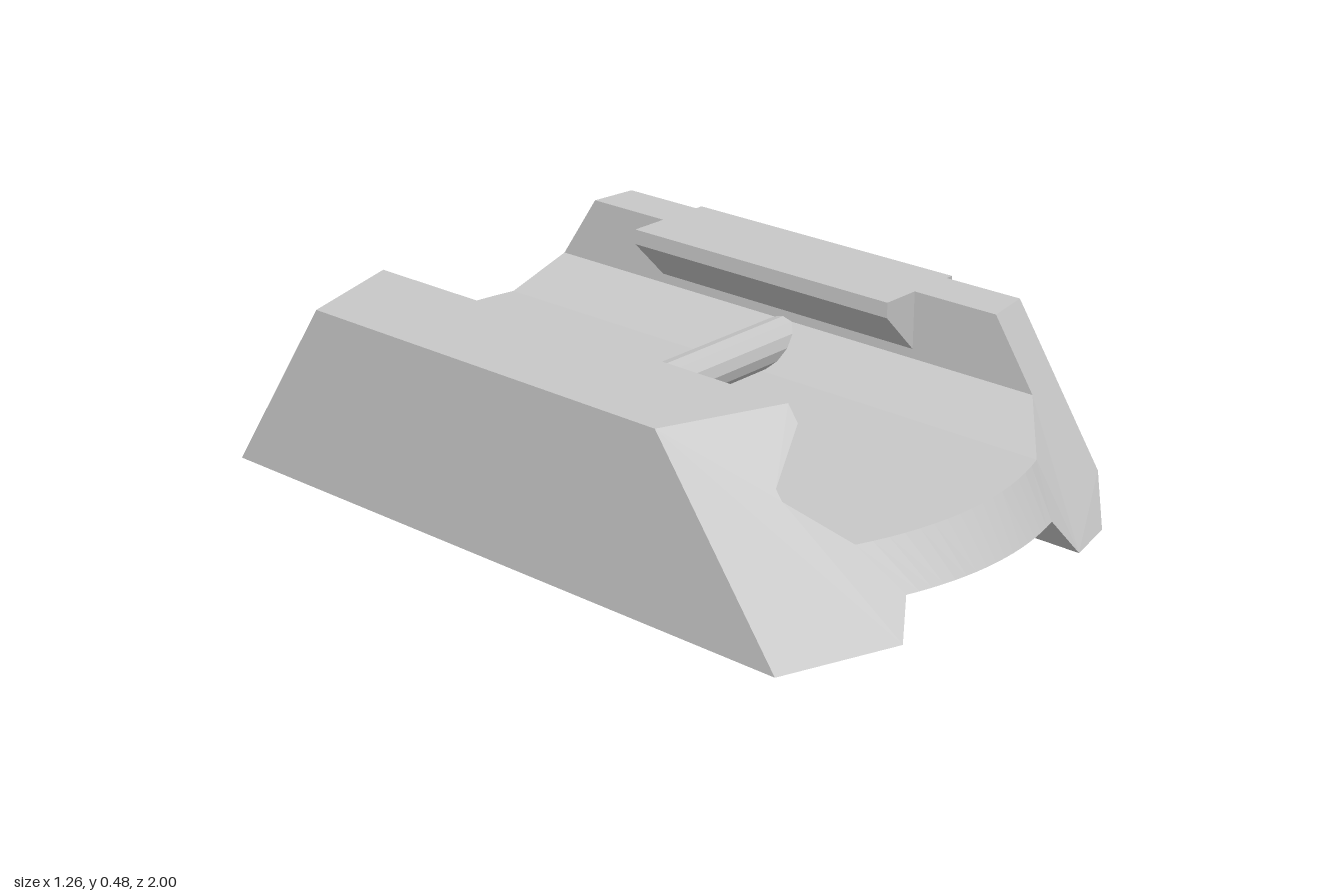
import * as THREE from 'three';

// Outline of each end: [x, distance at y = 0, inward lean per unit of height].
const BACK = { knots: [[-0.63, 0.89, 0.67], [-0.328, 0.985, 0.67], [0.322, 1.0, 0.67], [0.468, 0.97, 0.67], [0.56, 0.965, 0.67]], bulge: 0.038 };
const FRONT = { knots: [[-0.63, 0.87, 0.72], [-0.328, 0.98, 0.7], [0.322, 0.998, 0.66], [0.468, 0.965, 0.66], [0.56, 0.951, 0.66]], bulge: 0.063 };

function endDistance(end, x, y) {
  const k = end.knots;
  let i = 0;
  while (i < k.length - 2 && x > k[i + 1][0]) i++;
  const t = (x - k[i][0]) / (k[i + 1][0] - k[i][0]);
  const mix = (c) => k[i][c] + (k[i + 1][c] - k[i][c]) * t;
  const arc = i === 1 ? 4 * t * (1 - t) * end.bulge : 0;
  return mix(1) + arc - mix(2) * y;
}

const backEnd = (x, y) => -endDistance(BACK, x, y);
const frontEnd = (x, y) => endDistance(FRONT, x, y);
const at = (z) => () => z;

// Extrude an xy profile between two z rules, with crisp facets.
function prism(points, zBack, zFront) {
  const shape = new THREE.Shape(points.map(([x, y]) => new THREE.Vector2(x, y)));
  const geo = new THREE.ExtrudeGeometry(shape, { depth: 1, bevelEnabled: false });
  const p = geo.attributes.position;
  for (let i = 0; i < p.count; i++) {
    const rule = p.getZ(i) > 0.5 ? zFront : zBack;
    p.setZ(i, rule(p.getX(i), p.getY(i)));
  }
  geo.computeVertexNormals();
  return geo;
}

// Web between the cheeks: four-cornered sections joined along x.
function webGeometry() {
  const n = 16;
  const sections = [[-0.328, -0.328, 0.003]];
  for (let i = 0; i <= n; i++) sections.push([-0.328 + (0.65 * i) / n, -0.27 + (0.53 * i) / n, 0.09]);
  sections.push([0.322, 0.322, 0]);
  const ring = ([xTop, xLow, yLow]) => [
    [xTop, 0.2, backEnd(xTop, 0.2)], [xTop, 0.2, frontEnd(xTop, 0.2)],
    [xLow, yLow, frontEnd(xLow, yLow)], [xLow, yLow, backEnd(xLow, yLow)],
  ];
  const pos = [];
  for (let i = 0; i < sections.length - 1; i++) {
    const a = ring(sections[i]);
    const b = ring(sections[i + 1]);
    for (let j = 0; j < 4; j++) {
      const k = (j + 1) % 4;
      // The first and last sections share their top corners, so skip the empty floor there
      if (j === 0 && sections[i][0] === sections[i + 1][0]) continue;
      pos.push(...a[j], ...a[k], ...b[k], ...a[j], ...b[k], ...b[j]);
    }
  }
  const geo = new THREE.BufferGeometry();
  geo.setAttribute('position', new THREE.Float32BufferAttribute(pos, 3));
  geo.computeVertexNormals();
  return geo;
}

// Right-hand cheek, optionally with the slot beneath the clamp
function clampCheek(slot) {
  return [
    [0.322, 0], [0.468, 0],
    ...(slot ? [[0.468, 0.07], [0.505, 0.07], [0.505, 0.04]] : []),
    [0.56, 0.1], [0.56, 0.48], [0.43, 0.48], [0.43, 0.305], [0.322, 0.2],
  ];
}

export function createModel() {
  const metal = new THREE.MeshStandardMaterial({ color: 0xc8c8c8 });
  metal.name = 'light grey metal';
  const group = new THREE.Group();
  group.name = 'railMount';
  const add = (name, geo) => {
    const mesh = new THREE.Mesh(geo, metal);
    mesh.name = name;
    group.add(mesh);
    return mesh;
  };

  // Body: fixed cheek, curved web and the cheek that carries the clamp
  add('fixedCheek', prism([
    [-0.63, 0.003], [-0.328, 0.003], [-0.328, 0.2], [-0.44, 0.305],
    [-0.44, 0.33], [-0.328, 0.44], [-0.328, 0.48], [-0.63, 0.48],
  ], backEnd, frontEnd));
  add('web', webGeometry());
  add('clampCheekBack', prism(clampCheek(false), backEnd, at(-0.48)));
  add('clampCheekMiddle', prism(clampCheek(true), at(-0.48), at(0.48)));
  add('clampCheekFront', prism(clampCheek(false), at(0.48), frontEnd));

  // Clamp: inner lip, outer plate and wider chamfered foot
  add('clampLip', prism([[0.322, 0.48], [0.322, 0.44], [0.43, 0.33], [0.44, 0.33], [0.44, 0.48]], at(-0.41), at(0.415)));
  add('clampPlate', prism([[0.55, 0.14], [0.582, 0.14], [0.582, 0.48], [0.55, 0.48]], at(-0.41), at(0.415)));
  add('clampFoot', prism([
    [0.56, 0.145], [0.582, 0.145], [0.582, 0.107], [0.502, 0.015],
    [0.492, 0.015], [0.492, 0.04], [0.505, 0.04], [0.56, 0.1],
  ], at(-0.5), at(0.503)));

  // Faceted cross bolt through the groove
  const boltGeo = new THREE.CylinderGeometry(0.058, 0.058, 1.129, 12).toNonIndexed();
  boltGeo.computeVertexNormals();
  const bolt = add('crossBolt', boltGeo);
  bolt.rotation.z = Math.PI / 2;
  bolt.position.set(0.0645, 0.255, 0.002);

  // Tapered lug underneath
  const lugGeo = new THREE.BoxGeometry(0.22, 0.09, 0.22);
  const p = lugGeo.attributes.position;
  for (let i = 0; i < p.count; i++) {
    if (p.getY(i) < 0) p.setXYZ(i, p.getX(i) * 0.87, p.getY(i), p.getZ(i) * 0.87);
  }
  lugGeo.computeVertexNormals();
  add('lug', lugGeo).position.set(-0.005, 0.053, 0.03);

  return group;
}
